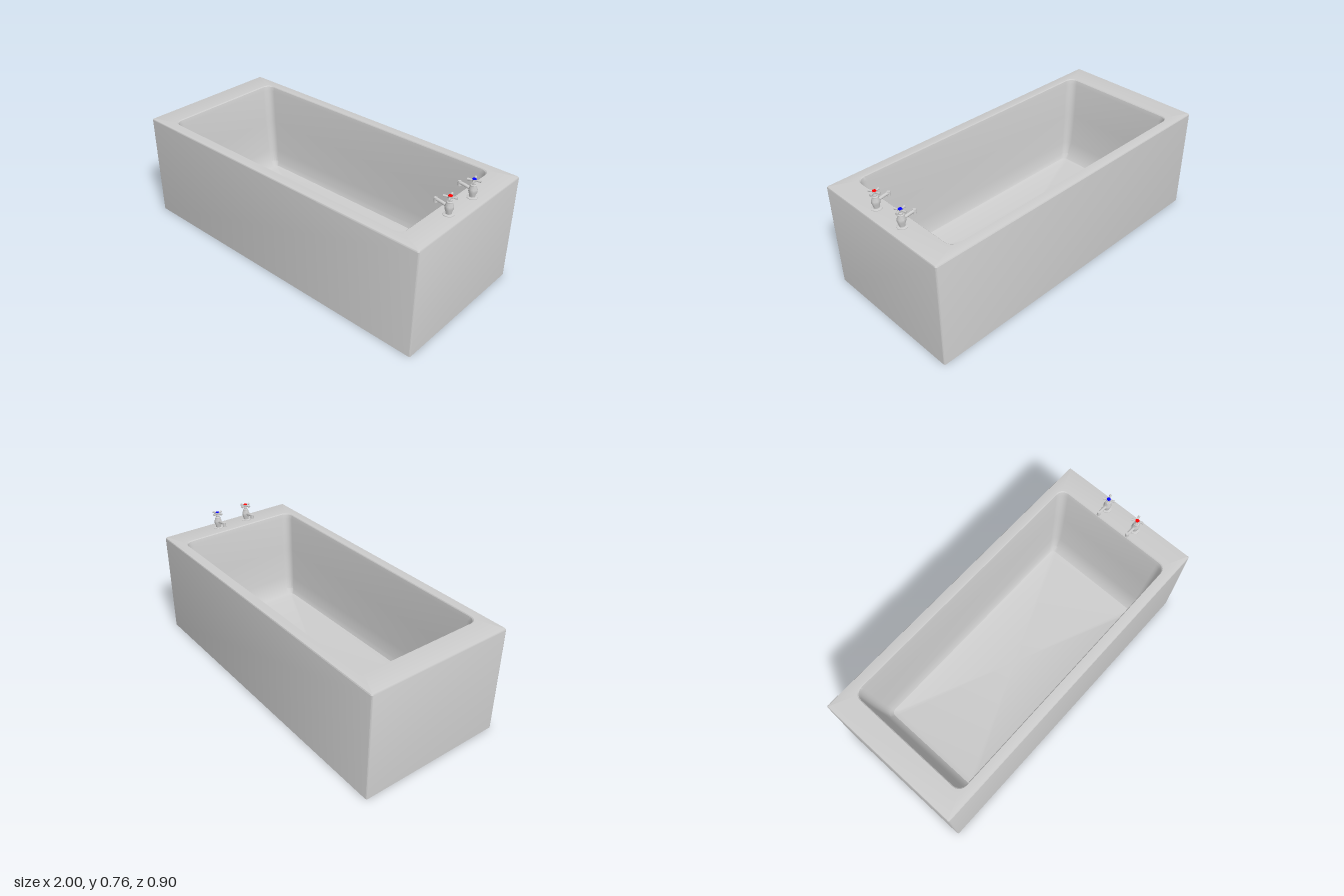
import * as THREE from 'three';
import { toCreasedNormals } from 'three/addons/utils/BufferGeometryUtils.js';

const material = (color = 0xcccccc) => new THREE.MeshStandardMaterial({ color });

function addMesh(parent, name, geometry, mat, x = 0, y = 0, z = 0) {
  const mesh = new THREE.Mesh(geometry, mat);
  mesh.name = name;
  mesh.position.set(x, y, z);
  parent.add(mesh);
  return mesh;
}

// Points of a rounded rectangle at height y
function roundedRing(y, halfX, halfZ, radius, steps = 5) {
  const points = [];
  for (let corner = 0; corner < 4; corner++) {
    const sx = corner === 0 || corner === 3 ? 1 : -1;
    const sz = corner < 2 ? 1 : -1;
    for (let i = 0; i <= steps; i++) {
      const a = (corner + i / steps) * Math.PI / 2;
      points.push([
        sx * (halfX - radius) + radius * Math.cos(a), y,
        sz * (halfZ - radius) + radius * Math.sin(a),
      ]);
    }
  }
  return points;
}

// Skin over a stack of rings, closed at both ends
function loft(rings) {
  const n = rings[0].length;
  const positions = rings.flat(2);
  const index = [];
  for (let r = 0; r < rings.length - 1; r++) {
    for (let j = 0; j < n; j++) {
      const k = (j + 1) % n;
      const a = r * n + j, b = r * n + k, c = a + n, d = b + n;
      index.push(a, c, b, b, c, d);
    }
  }
  const first = rings.length * n, last = first + 1, top = (rings.length - 1) * n;
  positions.push(0, rings[0][0][1], 0, 0, rings[rings.length - 1][0][1], 0);
  for (let j = 0; j < n; j++) {
    const k = (j + 1) % n;
    index.push(first, j, k, last, top + k, top + j);
  }
  const geometry = new THREE.BufferGeometry();
  geometry.setAttribute('position', new THREE.Float32BufferAttribute(positions, 3));
  geometry.setIndex(index);
  return toCreasedNormals(geometry, 0.5);
}

function createTap(name, capColor) {
  const tap = new THREE.Group();
  tap.name = name;
  const metal = material();

  // Flange, swelling body and narrow neck, turned as one piece
  const profile = [
    [0, 0], [0.029, 0], [0.029, 0.003], [0.016, 0.006], [0.016, 0.012], [0.023, 0.034],
    [0.023, 0.048], [0.016, 0.068], [0.016, 0.073], [0.011, 0.076], [0.011, 0.084],
    [0.007, 0.087], [0.007, 0.096], [0, 0.096],
  ].map(([r, y]) => new THREE.Vector2(r, y));
  addMesh(tap, 'tapBody', toCreasedNormals(new THREE.LatheGeometry(profile, 12), 0.6), metal);

  // Spout reaching over the basin
  const path = new THREE.CatmullRomCurve3([
    new THREE.Vector3(0, 0.04, 0), new THREE.Vector3(-0.03, 0.048, 0),
    new THREE.Vector3(-0.06, 0.053, 0), new THREE.Vector3(-0.08, 0.054, 0),
  ]);
  addMesh(tap, 'spout', new THREE.TubeGeometry(path, 8, 0.009, 10), metal);
  addMesh(tap, 'nozzle', new THREE.CylinderGeometry(0.009, 0.011, 0.026, 10), metal, -0.08, 0.05);

  // Cross handle with flared arm ends
  const handle = new THREE.Group();
  handle.name = 'handle';
  handle.position.y = 0.099;
  handle.rotation.y = 0.35;
  tap.add(handle);
  addMesh(handle, 'handleHub', new THREE.CylinderGeometry(0.013, 0.011, 0.014, 12), metal);
  for (let i = 0; i < 4; i++) {
    const arm = new THREE.Group();
    arm.name = 'handleArm';
    arm.rotation.y = i * Math.PI / 2;
    handle.add(arm);
    const rod = addMesh(arm, 'armRod', new THREE.CylinderGeometry(0.0075, 0.0045, 0.026, 8), metal, 0.022);
    rod.rotation.z = -Math.PI / 2;
  }
  addMesh(handle, 'colourCap', new THREE.CylinderGeometry(0.011, 0.012, 0.003, 12), material(capColor), 0, 0.0075);
  return tap;
}

export function createModel() {
  const model = new THREE.Group();
  model.name = 'bathtub';

  // Outer panels, bevelled rim, then down the basin walls to the floor
  const rings = [
    [0, 1, 0.45, 0.01], [0.642, 1, 0.45, 0.01], [0.648, 0.997, 0.447, 0.01], [0.65, 0.992, 0.442, 0.01],
    [0.65, 0.858, 0.392, 0.05], [0.645, 0.853, 0.388, 0.05], [0.62, 0.846, 0.384, 0.05],
    [0.4, 0.825, 0.372, 0.05], [0.2, 0.795, 0.358, 0.045], [0.12, 0.775, 0.35, 0.04],
    [0.09, 0.75, 0.338, 0.03], [0.08, 0.72, 0.315, 0.02],
  ].map(([y, hx, hz, r]) => roundedRing(y, hx, hz, r));
  addMesh(model, 'tub', loft(rings), material());

  // Hot and cold taps on the left-hand rim
  for (const [name, color, z] of [['hotTap', 0xff0000, 0.105], ['coldTap', 0x0000ff, -0.105]]) {
    const tap = createTap(name, color);
    tap.position.set(0.925, 0.65, z);
    model.add(tap);
  }
  return model;
}
